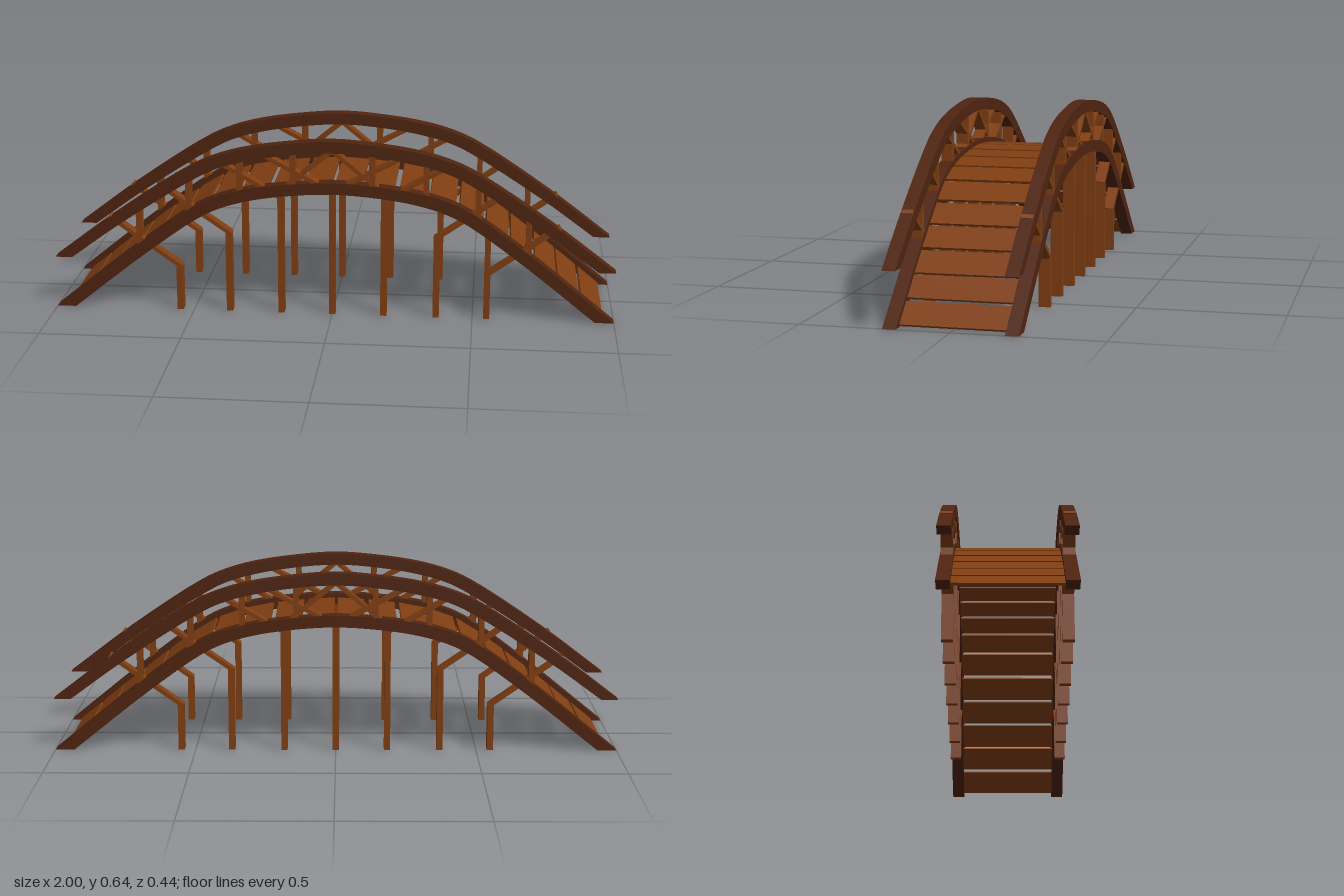
import * as THREE from 'three';

const darkWood = new THREE.MeshStandardMaterial({ color: 0x4f2410 });
darkWood.name = 'dark wood';
const lightWood = new THREE.MeshStandardMaterial({ color: 0x803e12 });
lightWood.name = 'light wood';

const SIDE_Z = 0.2; // centre of each side frame
const BEAM_DEPTH = 0.045;

// Mirrors half an arch (from the foot to the crown) and samples it smoothly.
function arch(half) {
  const mirrored = half.slice(0, -1).reverse().map(([x, y]) => [-x, y]);
  const points = [...half, ...mirrored].map(([x, y]) => new THREE.Vector3(x, y, 0));
  return new THREE.CatmullRomCurve3(points, false, 'centripetal').getPoints(48);
}

const beamTop = arch([[-1, 0], [-0.69, 0.25], [-0.5, 0.387], [-0.42, 0.427], [-0.31, 0.459], [-0.17, 0.479], [0, 0.49]]);
const beamBottom = arch([[-0.933, 0], [-0.67, 0.21], [-0.48, 0.346], [-0.4, 0.386], [-0.3, 0.416], [-0.17, 0.437], [0, 0.448]]);
const railTop = arch([[-1, 0.187], [-0.77, 0.36], [-0.5, 0.537], [-0.41, 0.577], [-0.31, 0.605], [-0.17, 0.627], [0, 0.64]]);
const railBottom = arch([[-0.94, 0.187], [-0.75, 0.325], [-0.48, 0.497], [-0.4, 0.535], [-0.3, 0.563], [-0.17, 0.585], [0, 0.598]]);

// Height of a sampled arch at x.
function heightAt(curve, x) {
  const i = Math.max(1, curve.findIndex((p) => p.x >= x));
  const a = curve[i - 1], b = curve[i];
  return a.y + (b.y - a.y) * (x - a.x) / (b.x - a.x);
}

function add(parent, name, geometry, material) {
  const mesh = new THREE.Mesh(geometry, material);
  mesh.name = name;
  parent.add(mesh);
  return mesh;
}

// Curved timber between an upper and a lower arch.
function archBeam(parent, name, top, bottom) {
  const outline = [...bottom, ...[...top].reverse()].map((p) => new THREE.Vector2(p.x, p.y));
  const geometry = new THREE.ExtrudeGeometry(new THREE.Shape(outline), { depth: BEAM_DEPTH, bevelEnabled: false });
  geometry.translate(0, 0, -BEAM_DEPTH / 2);
  add(parent, name, geometry, darkWood);
}

// Straight timber between two points in the frame plane.
function bar(parent, name, [x1, y1], [x2, y2], width, depth = 0.04) {
  const length = Math.hypot(x2 - x1, y2 - y1);
  const mesh = add(parent, name, new THREE.BoxGeometry(length, width, depth), lightWood);
  mesh.position.set((x1 + x2) / 2, (y1 + y2) / 2, 0);
  mesh.rotation.z = Math.atan2(y2 - y1, x2 - x1);
}

function sideFrame(name) {
  const frame = new THREE.Group();
  frame.name = name;
  archBeam(frame, 'archBeam', beamTop, beamBottom);
  archBeam(frame, 'handrail', railTop, railBottom);
  bar(frame, 'centrePost', [0, 0], [0, 0.47], 0.022);
  for (const s of [-1, 1]) {
    // Ground posts
    for (const [x, y] of [[0.183, 0.455], [0.37, 0.295], [0.55, 0.165]]) {
      bar(frame, 'groundPost', [s * x, 0], [s * x, y], 0.022);
    }
    // Struts running from the ground posts through the arch up to the handrail
    for (const [x1, y1, x2, y2] of [
      [0.542, 0.161, 0.8, 0.345], [0.362, 0.291, 0.605, 0.46],
      [0.183, 0.43, 0.42, 0.565], [0, 0.455, 0.255, 0.59],
    ]) {
      bar(frame, 'strut', [s * x1, y1], [s * x2, y2], 0.014);
    }
    bar(frame, 'crownBrace', [0, 0.605], [s * 0.17, 0.465], 0.014);
    // Balusters between arch and handrail
    for (const x of [0.14, 0.33, 0.512, 0.692]) {
      bar(frame, 'baluster', [s * x, heightAt(beamTop, -x) - 0.015], [s * x, heightAt(railBottom, -x) + 0.015], 0.02);
    }
  }
  return frame;
}

export function createModel() {
  const model = new THREE.Group();
  model.name = 'archedFootbridge';

  for (const s of [-1, 1]) {
    const frame = sideFrame(s > 0 ? 'frontFrame' : 'backFrame');
    frame.position.z = s * SIDE_Z;
    model.add(frame);
  }

  // Deck planks following the middle of the arch
  const deck = new THREE.Group();
  deck.name = 'deck';
  model.add(deck);
  const middle = (x) => (heightAt(beamTop, x) + heightAt(beamBottom, x)) / 2;
  for (const x of [0.054, 0.168, 0.28, 0.387, 0.487, 0.58, 0.667, 0.754, 0.836, 0.922]) {
    for (const s of [-1, 1]) {
      const slope = (middle(-x + 0.01) - middle(-x - 0.01)) / 0.02;
      const plank = add(deck, 'plank', new THREE.BoxGeometry(0.097, 0.008, 0.36), lightWood);
      plank.position.set(s * x, middle(-x), 0);
      plank.rotation.z = -s * Math.atan(slope);
    }
  }
  return model;
}
